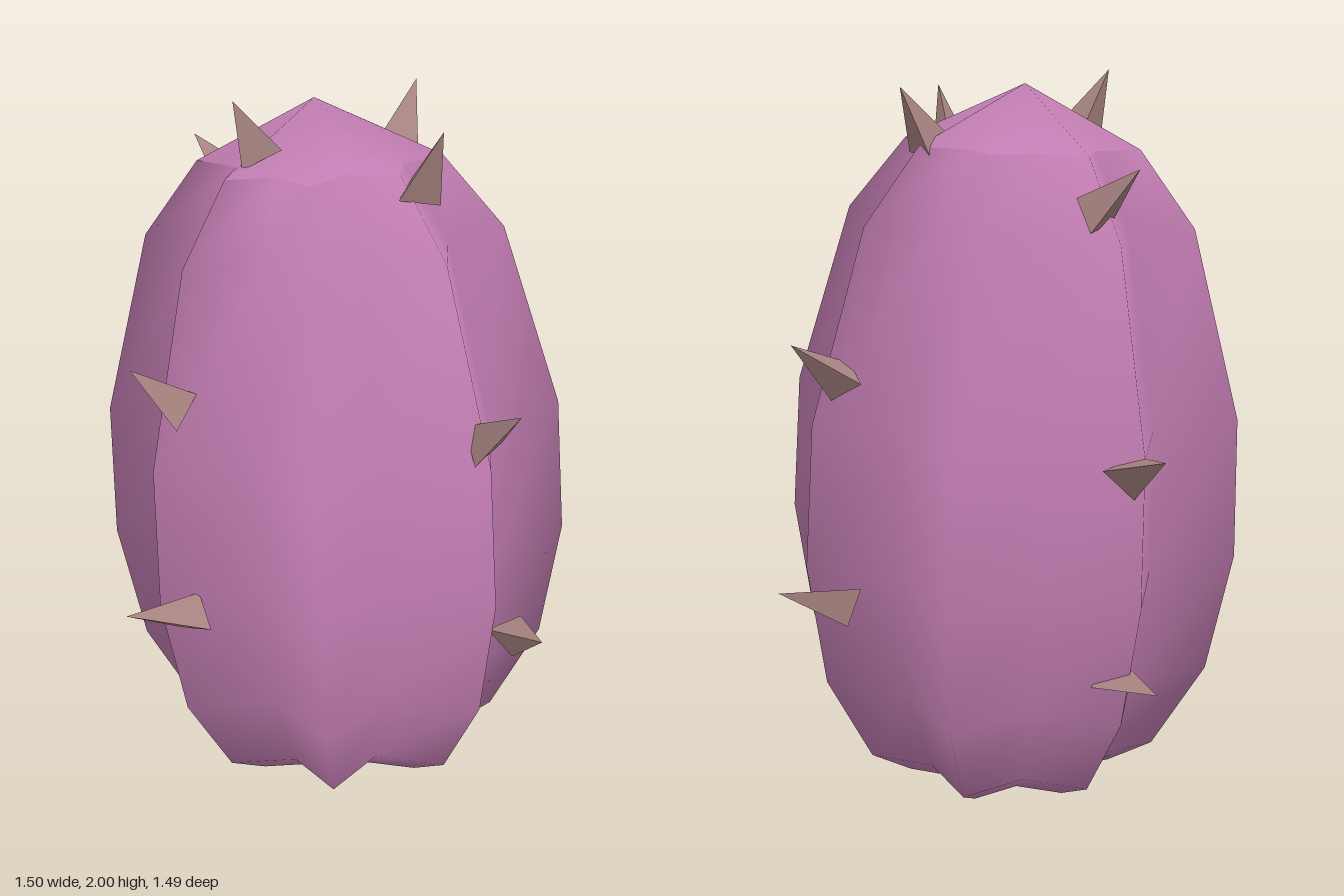
import * as THREE from 'three';

const skin = new THREE.MeshStandardMaterial({ color: 0xc27db2 });
const thorn = new THREE.MeshStandardMaterial({ color: 0xa98582, flatShading: true });

// [height, radius at the rib crests], from bottom to top
const PROFILE = [[0.09, 0.31], [0.165, 0.43], [0.42, 0.565], [0.76, 0.62], [1.14, 0.6], [1.63, 0.455], [1.82, 0.305]];
// radius factor per column: crests and grooves alternate, from +x round to +z
const RIBS = [1, 0.67, 0.96, 0.7, 0.97, 0.7, 1.0, 0.73, 1, 0.77, 1.02, 0.77, 0.99, 0.71, 1.04, 0.78];
const N = RIBS.length;

function ring([y, r]) {
  return RIBS.flatMap((k, j) => {
    const a = (j / N) * Math.PI * 2;
    return [r * k * Math.cos(a), y, r * k * Math.sin(a)];
  });
}

function surface(positions, index) {
  const g = new THREE.BufferGeometry();
  g.setAttribute('position', new THREE.Float32BufferAttribute(positions, 3));
  g.setIndex(index);
  g.computeVertexNormals();
  return g;
}

// ribbed side wall, smooth all round
function wall() {
  const index = [];
  for (let i = 0; i < PROFILE.length - 1; i++) {
    for (let j = 0; j < N; j++) {
      const a = i * N + j, b = i * N + (j + 1) % N;
      index.push(a, a + N, b, b, a + N, b + N);
    }
  }
  return surface(PROFILE.flatMap(ring), index);
}

// star-shaped fan closing one end
function cap(level, apexY, up) {
  const index = [];
  for (let j = 0; j < N; j++) {
    const k = (j + 1) % N;
    index.push(N, up ? k : j, up ? j : k);
  }
  return surface([...ring(level), 0, apexY, 0], index);
}

// thorns: [base centre, tip]
const THORNS = [
  // front
  [[-0.065, 1.86, 0.18], [-0.075, 2.0, 0.25]],
  [[-0.01, 1.29, 0.5], [-0.03, 1.43, 0.62]],
  [[0.07, 0.74, 0.53], [0.06, 0.83, 0.74]],
  // back
  [[-0.05, 1.81, -0.27], [-0.07, 1.96, -0.36]],
  [[-0.09, 1.25, -0.53], [-0.1, 1.36, -0.68]],
  [[-0.13, 0.69, -0.56], [-0.13, 0.75, -0.75]],
  // left
  [[0.26, 1.79, -0.04], [0.35, 1.96, -0.03]],
  [[0.52, 1.22, -0.02], [0.67, 1.36, 0.01]],
  [[0.61, 0.69, -0.06], [0.75, 0.75, -0.03]],
  // right
  [[-0.44, 1.66, -0.04], [-0.57, 1.78, 0]],
  [[-0.59, 1.06, -0.04], [-0.75, 1.13, -0.04]],
  [[-0.51, 0.51, -0.02], [-0.69, 0.52, 0]],
];

function makeThorn([base, tip], i) {
  const from = new THREE.Vector3(...base), to = new THREE.Vector3(...tip);
  const dir = to.clone().sub(from), length = dir.length();
  const g = new THREE.ConeGeometry(0.062, length, 3);
  g.translate(0, length / 2, 0);
  g.rotateY(i * 0.7);
  const mesh = new THREE.Mesh(g, thorn);
  mesh.quaternion.setFromUnitVectors(new THREE.Vector3(0, 1, 0), dir.normalize());
  mesh.position.copy(from);
  mesh.name = 'thorn' + (i + 1);
  return mesh;
}

export function createModel() {
  const model = new THREE.Group();
  model.name = 'cactus';

  // body leans slightly to its right
  const body = new THREE.Group();
  body.name = 'body';
  const parts = {
    ribbedWall: wall(),
    topCap: cap(PROFILE[PROFILE.length - 1], 1.97, true),
    bottomCap: cap(PROFILE[0], 0, false),
  };
  for (const [name, geometry] of Object.entries(parts)) {
    const mesh = new THREE.Mesh(geometry, skin);
    mesh.name = name;
    body.add(mesh);
  }
  body.position.set(0.035, 0, -0.01);
  body.rotation.z = 0.058;
  model.add(body);

  const thorns = new THREE.Group();
  thorns.name = 'thorns';
  THORNS.forEach((t, i) => thorns.add(makeThorn(t, i)));
  model.add(thorns);
  return model;
}
